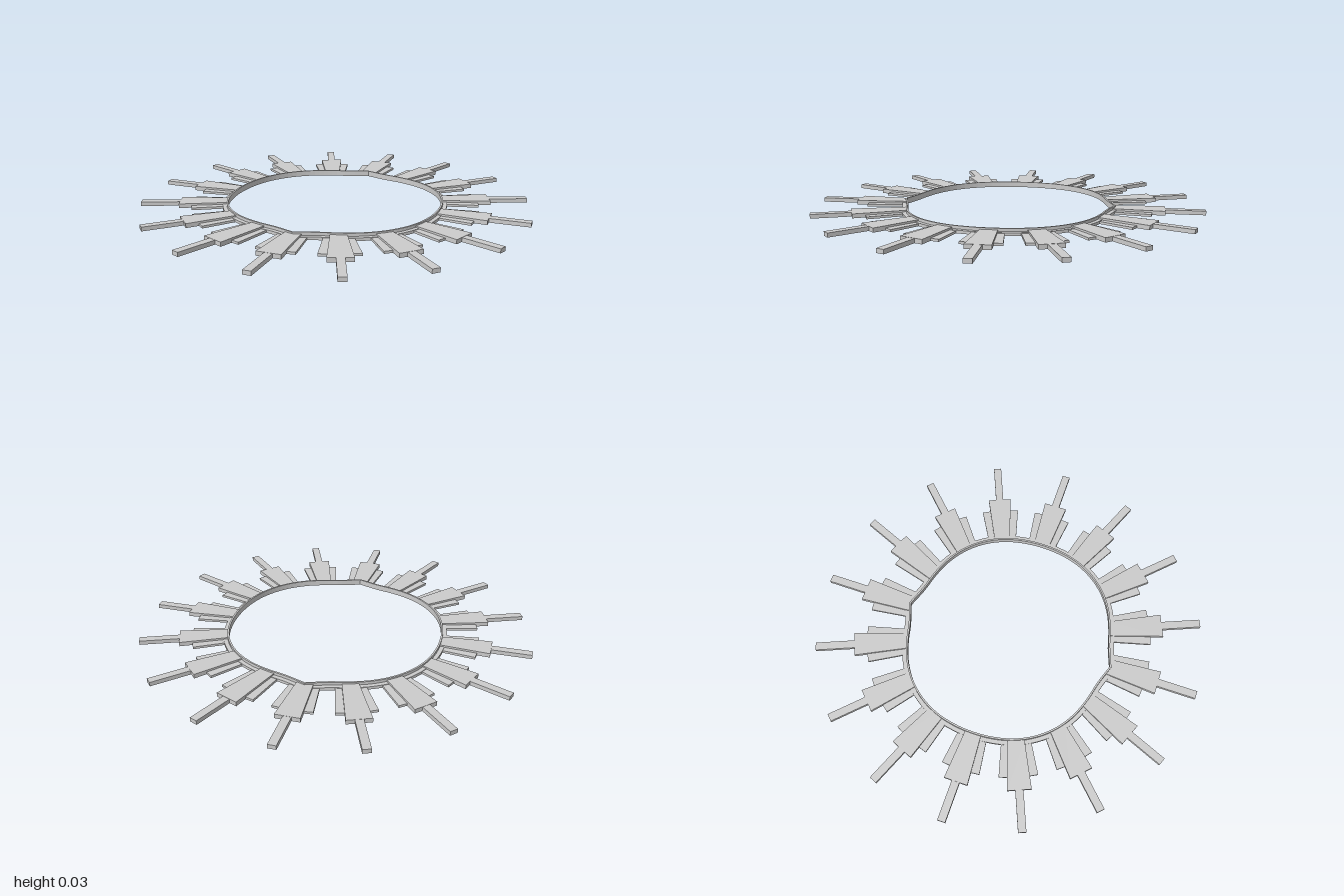
import * as THREE from 'three';

const material = new THREE.MeshStandardMaterial({ color: 0xcccccc, flatShading: true });

// Opening radius over a quarter turn, from the pointed end (z axis) to the side (x axis).
// The first value lies before the quarter and only steepens the point.
const radii = [0.595, 0.548, 0.522, 0.526, 0.538, 0.548, 0.553, 0.553, 0.549, 0.547];
const quarter = new THREE.SplineCurve(radii.map((r, i) => new THREE.Vector2(i, r)));

function openingRadius(angle) {
  const t = Math.asin(Math.min(1, Math.abs(Math.sin(angle)))) / (Math.PI / 2);
  return quarter.getPoint((1 + 8 * t) / 9).y;
}

// Angle 0 points along z, a quarter turn along x
const polar = (angle, r) => new THREE.Vector2(Math.sin(angle) * r, Math.cos(angle) * r);

// Counter-clockwise loop around the opening
function outline(offset) {
  const points = [];
  for (let i = 0; i < 128; i++) {
    const a = (-i / 128) * Math.PI * 2;
    points.push(polar(a, openingRadius(a) + offset));
  }
  return points;
}

// Flat plate lying on the ground
function plate(name, points, height, hole) {
  const shape = new THREE.Shape(points);
  if (hole) shape.holes.push(new THREE.Path(hole));
  const geometry = new THREE.ExtrudeGeometry(shape, { depth: height, bevelEnabled: false });
  geometry.rotateX(-Math.PI / 2);
  const mesh = new THREE.Mesh(geometry, material);
  mesh.name = name;
  return mesh;
}

// Wedge between two angles, its inner edge following the opening
function wedge(name, from, to, radius, height) {
  const points = [polar(from, radius), polar(to, radius)];
  for (let i = 0; i <= 4; i++) {
    const a = to + ((from - to) * i) / 4;
    points.push(polar(a, openingRadius(a) + 0.004));
  }
  return plate(name, points, height);
}

export function createModel() {
  const model = new THREE.Group();
  model.name = 'sunburstFrame';

  // Ring: low band with a thin raised rim on the inside
  model.add(plate('ringBand', outline(0.026), 0.015, outline(0)));
  model.add(plate('ringRim', outline(0.005), 0.03, outline(-0.004)));

  // Sixteen stepped rays
  const middle = 0.075, side = 0.132;
  for (let i = 0; i < 16; i++) {
    const a = (i / 16) * Math.PI * 2;
    const ray = new THREE.Group();
    ray.name = 'ray' + (i + 1);
    ray.add(wedge('middleWedge', a - middle, a + middle, 0.802, 0.022));
    ray.add(wedge('sideWedge', a - side, a - middle, 0.737, 0.012));
    ray.add(wedge('sideWedge', a + middle, a + side, 0.737, 0.012));

    // Narrow bar reaching out of the wedge
    const along = polar(a, 1);
    const across = new THREE.Vector2(along.y, -along.x).multiplyScalar(0.02);
    const corner = (r, s) => along.clone().multiplyScalar(r).addScaledVector(across, s);
    ray.add(plate('rayBar', [corner(0.79, -1), corner(0.79, 1), corner(1, 1), corner(1, -1)], 0.021));
    model.add(ray);
  }
  return model;
}
